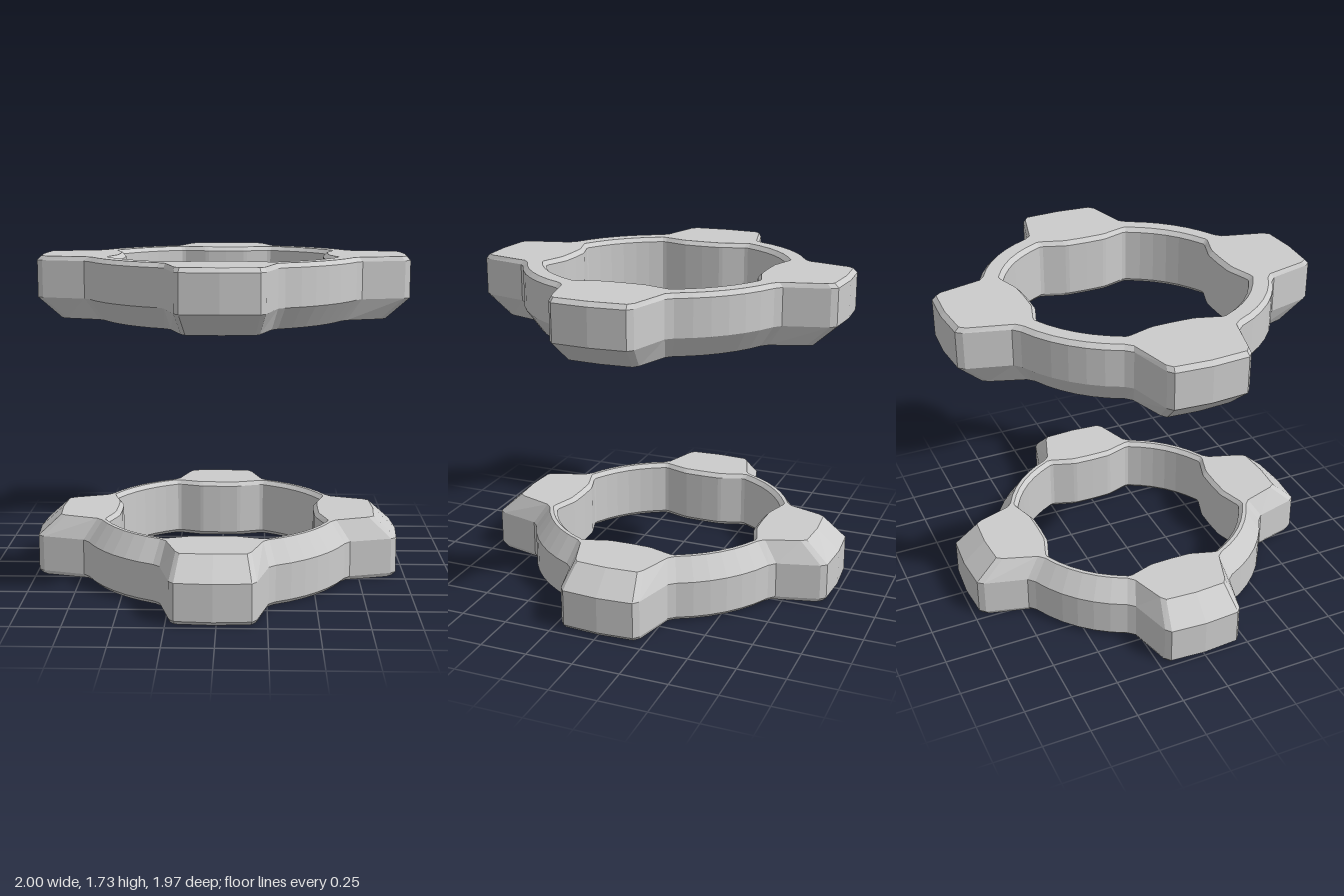
import * as THREE from 'three';

const HEIGHT = 0.327, BEVEL = 0.022, SHOULDER = 0.215;

// Half a lug as [outer across, outer along, inner across, inner along]
const HALF_LUG = [
  [0, 0.983, 0, 0.53],
  [0.19, 0.97, 0.1, 0.533],
  [0.215, 0.94, 0.12, 0.537],
  [0.275, 0.715, 0.235, 0.575],
  [0.31, 0.683, 0.255, 0.575],
];

// One quarter of the outline: a whole lug, then the arc to the next lug
function quarterStations() {
  const mirrored = HALF_LUG.slice(1).reverse().map(([a, b, c, d]) => [-a, b, -c, d]);
  const arc = [31.3, 38.1, 45, 51.9, 58.7].map((deg) => {
    const t = THREE.MathUtils.degToRad(deg);
    const s = Math.sin(t), c = Math.cos(t);
    return [0.75 * s, 0.75 * c, 0.627 * s, 0.627 * c];
  });
  return [...mirrored, ...HALF_LUG, ...arc];
}

// Cross-section at a station: wide chamfer on the upper outer edge, small bevels elsewhere
function section([ox, oz, ix, iz]) {
  const outer = Math.hypot(ox, oz), inner = Math.hypot(ix, iz);
  const chamfer = outer > 0.85 ? 0.125 : 0.08;
  const o = (inset, y) => [ox * (1 - inset / outer), y, oz * (1 - inset / outer)];
  const i = (inset, y) => [ix * (1 + inset / inner), y, iz * (1 + inset / inner)];
  return [
    o(0, BEVEL), o(0, SHOULDER), o(chamfer, HEIGHT), i(BEVEL, HEIGHT),
    i(0, HEIGHT - BEVEL), i(0, BEVEL), i(BEVEL, 0), o(BEVEL, 0),
  ];
}

function ringGeometry() {
  const loops = [];
  for (let q = 0; q < 4; q++) {
    const s = Math.round(Math.sin(q * Math.PI / 2)), c = Math.round(Math.cos(q * Math.PI / 2));
    for (const station of quarterStations()) {
      loops.push(section(station).map(([x, y, z]) => [x * c + z * s, y, z * c - x * s]));
    }
  }
  const positions = [];
  loops.forEach((a, n) => {
    const b = loops[(n + 1) % loops.length];
    for (let j = 0; j < a.length; j++) {
      const k = (j + 1) % a.length;
      positions.push(...a[j], ...b[j], ...b[k], ...a[j], ...b[k], ...a[k]);
    }
  });
  const geometry = new THREE.BufferGeometry();
  geometry.setAttribute('position', new THREE.Float32BufferAttribute(positions, 3));
  geometry.computeVertexNormals();
  return geometry;
}

export function createModel() {
  const group = new THREE.Group();
  const material = new THREE.MeshStandardMaterial({ color: 0xcccccc, flatShading: true });
  const geometry = ringGeometry();

  // Lower ring, chamfer facing up
  const lower = new THREE.Mesh(geometry, material);
  lower.name = 'lowerRing';
  lower.position.x = -0.017;

  // Upper ring, turned over so the chamfers face each other
  const upper = new THREE.Mesh(geometry, material);
  upper.name = 'upperRing';
  upper.rotation.x = Math.PI;
  upper.position.set(0.017, 1.727, 0);

  group.add(lower, upper);
  return group;
}
